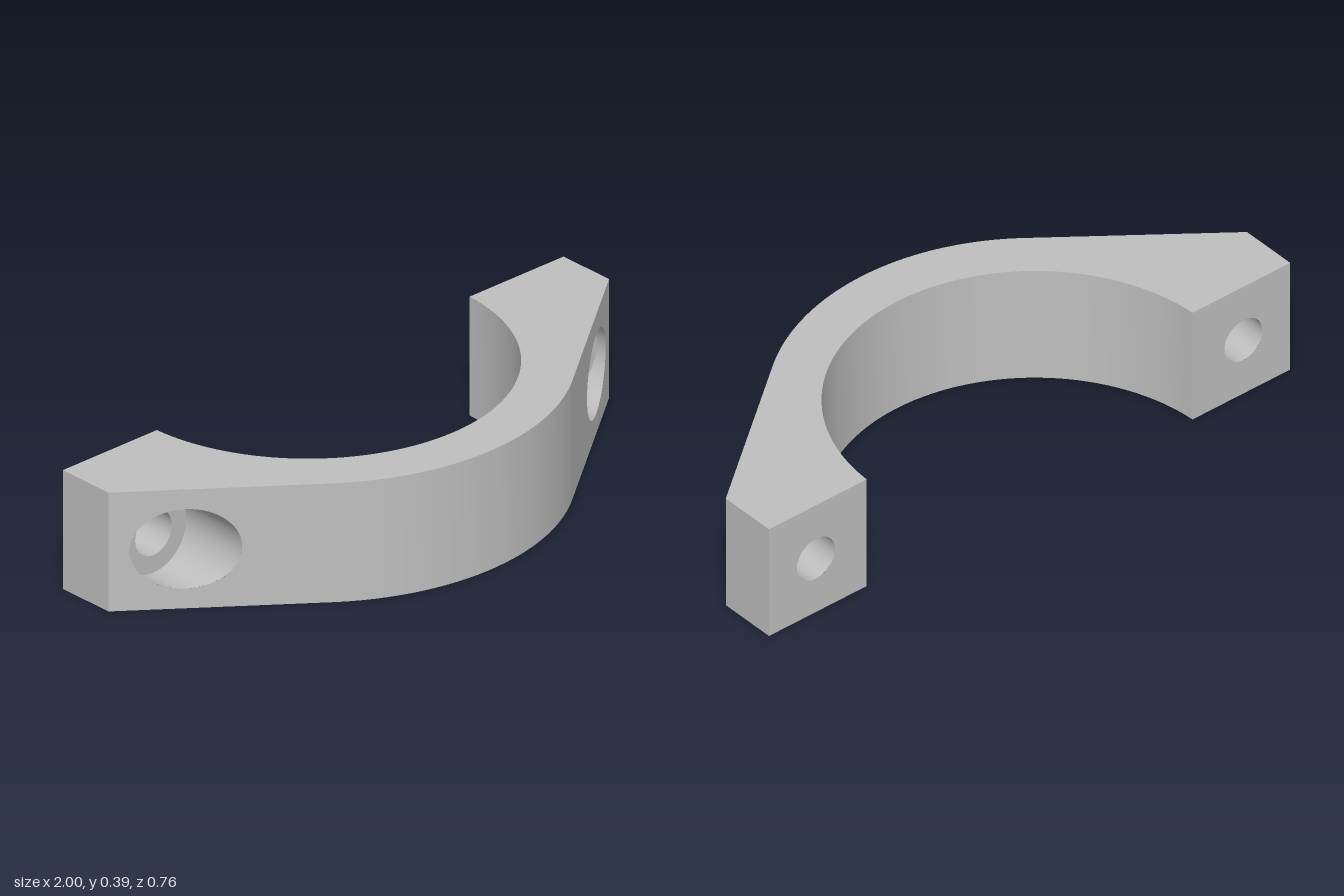
import * as THREE from 'three';

const H = 0.392, MID = H / 2;            // clamp height and hole level
const CZ = -0.4055, RI = 0.6255, RO = 0.786; // shared arc centre, inner and outer radius
const BACK = -0.381, SHOULDER = -0.185;  // rear face, and front edge of the end faces
const HOLE_X = 0.82, BORE = 0.131, BOLT = 0.073;
const SEG = 64;

// Tangent from the end-face edge to the outer arc
const dz = SHOULDER - CZ;
const TAN = Math.atan2(dz, 1) + Math.acos(RO / Math.hypot(1, dz));
const slopeZ = x => CZ + (RO - x * Math.cos(TAN)) / Math.sin(TAN);

// Surface between two matching rows of points
function sheet(a, b, closed = false) {
  const n = a.length, index = [];
  for (let i = 0; i < (closed ? n : n - 1); i++) {
    const j = (i + 1) % n;
    index.push(i, j, n + i, j, n + j, n + i);
  }
  const geo = new THREE.BufferGeometry().setFromPoints([...a, ...b]);
  geo.setIndex(index);
  geo.computeVertexNormals();
  return geo;
}

// Upright wall along a plan line of [x, z] points
const wall = plan => sheet(
  plan.map(([x, z]) => new THREE.Vector3(x, 0, z)),
  plan.map(([x, z]) => new THREE.Vector3(x, H, z)));

function flip(geo) {
  const ix = geo.index;
  for (let i = 0; i < ix.count; i += 3) {
    const t = ix.getX(i);
    ix.setX(i, ix.getX(i + 1));
    ix.setX(i + 1, t);
  }
  geo.computeVertexNormals();
  return geo;
}

const mirror = geo => flip(geo.clone().scale(-1, 1, 1));

// Plan arc around the shared centre, between two angles
function arc(r, from, to) {
  return Array.from({ length: SEG + 1 }, (_, i) => {
    const t = from + (to - from) * i / SEG;
    return [r * Math.cos(t), CZ + r * Math.sin(t)];
  });
}

// Round hole wall facing inwards, from z0 to a mouth at mouthZ(x)
function holeWall(r, z0, mouthZ) {
  const ring = zAt => Array.from({ length: SEG }, (_, i) => {
    const t = -i / SEG * Math.PI * 2, x = HOLE_X + r * Math.cos(t);
    return new THREE.Vector3(x, MID + r * Math.sin(t), zAt(x));
  });
  return sheet(ring(() => z0), ring(mouthZ), true);
}

// Rectangular face pierced by a round hole, with z given by a rule
function piercedFace(x0, x1, r, zAt) {
  const shape = new THREE.Shape([[x0, 0], [x1, 0], [x1, H], [x0, H]].map(p => new THREE.Vector2(...p)));
  shape.holes.push(new THREE.Path().absarc(HOLE_X, MID, r, 0, Math.PI * 2, true));
  const geo = new THREE.ShapeGeometry(shape, SEG);
  const pos = geo.attributes.position;
  for (let i = 0; i < pos.count; i++) pos.setZ(i, zAt(pos.getX(i)));
  geo.computeVertexNormals();
  return geo;
}

export function createModel() {
  const model = new THREE.Group();
  model.name = 'halfClamp';
  const metal = new THREE.MeshStandardMaterial({ color: 0xbfbfbf });
  metal.name = 'grey metal';
  const add = (parent, name, geo) => {
    const mesh = new THREE.Mesh(geo, metal);
    mesh.name = name;
    parent.add(mesh);
  };

  // Curved saddle
  const a0 = Math.asin((BACK - CZ) / RI);
  const outer = arc(RO, Math.PI - TAN, TAN);
  const inner = arc(RI, a0, Math.PI - a0);
  const saddle = new THREE.Group();
  saddle.name = 'saddle';
  model.add(saddle);
  add(saddle, 'outerCurve', wall(outer));
  add(saddle, 'innerCurve', wall(inner));

  // Flat top and bottom
  const plan = [[-1, SHOULDER], ...outer, [1, SHOULDER], [1, BACK], ...inner, [-1, BACK]];
  const cap = new THREE.ShapeGeometry(new THREE.Shape(plan.map(([x, z]) => new THREE.Vector2(x, -z))));
  cap.rotateX(-Math.PI / 2);
  add(saddle, 'topFace', cap.clone().translate(0, H, 0));
  add(saddle, 'bottomFace', flip(cap.clone()));

  // Bolt lug faces and counterbored hole, built on +x and mirrored
  const innerEdge = RI * Math.cos(a0);
  const lugParts = {
    endFace: wall([[1, SHOULDER], [1, BACK]]),
    slopedFace: piercedFace(RO * Math.cos(TAN), 1, BORE, slopeZ),
    backFace: flip(piercedFace(innerEdge, 1, BOLT, () => BACK)),
    counterbore: holeWall(BORE, SHOULDER, slopeZ),
    boltSeat: new THREE.RingGeometry(BOLT, BORE, SEG).translate(HOLE_X, MID, SHOULDER),
    boltHole: holeWall(BOLT, BACK, () => SHOULDER),
  };
  for (const side of ['left', 'right']) {
    const lug = new THREE.Group();
    lug.name = side + 'Lug';
    model.add(lug);
    for (const [name, geo] of Object.entries(lugParts)) {
      add(lug, name, side === 'left' ? geo : mirror(geo));
    }
  }
  return model;
}
